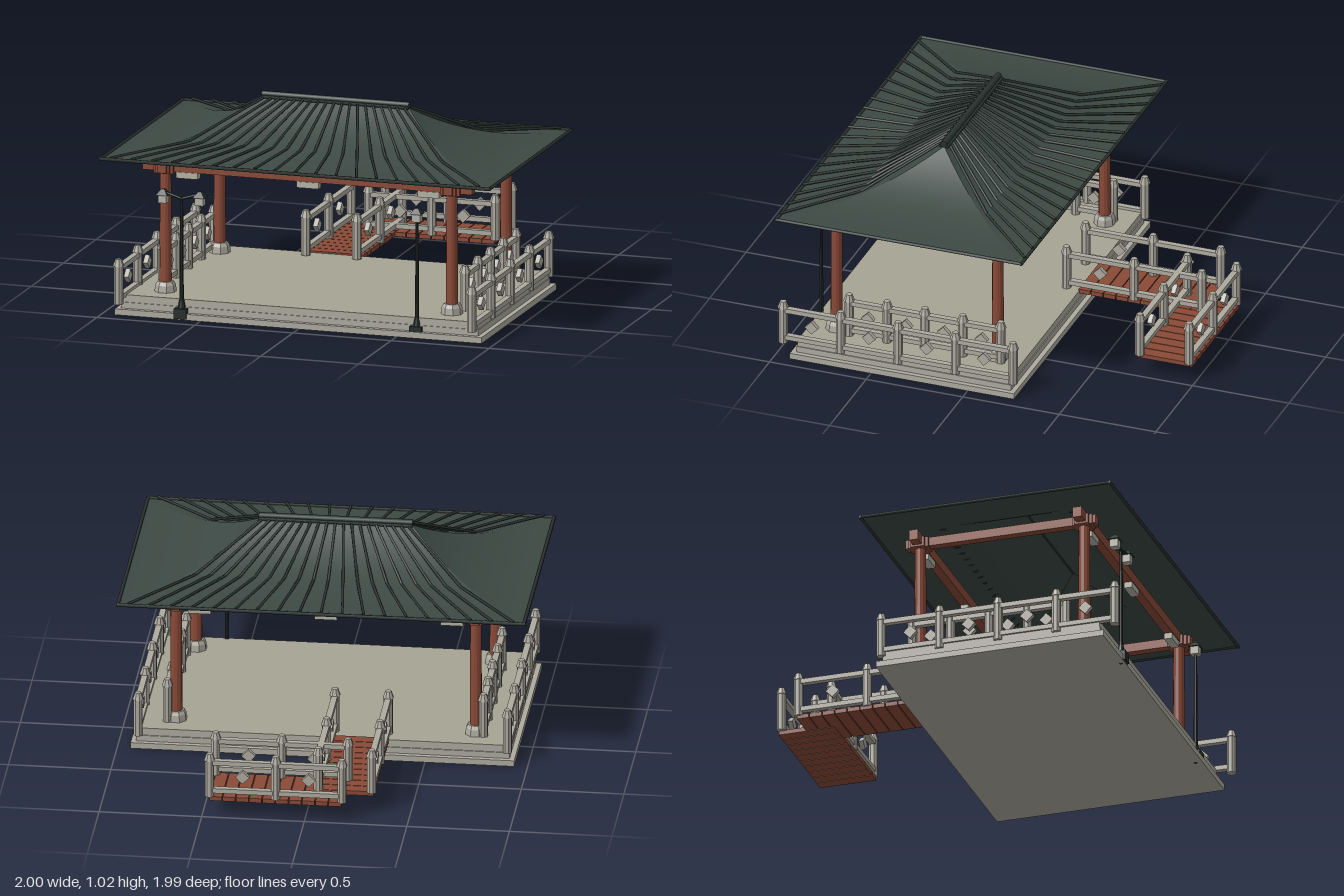
import * as THREE from 'three';

const mat = (name, color, extra = {}) => {
  const m = new THREE.MeshStandardMaterial({ color, ...extra });
  m.name = name;
  return m;
};

export function createModel() {
  const stone = mat('stone', 0xaeaba0, { flatShading: true });
  const floorStone = mat('floor stone', 0xa6a493);
  const wood = mat('red wood', 0x8a4a38, { flatShading: true });
  const tile = mat('roof tile', 0x3d4944, { side: THREE.DoubleSide });
  const trim = mat('dark tile trim', 0x2a3431);
  const iron = mat('lamp iron', 0x262e2c, { flatShading: true });
  const glass = mat('lamp glass', 0xb6b4a7);

  const model = new THREE.Group();
  model.name = 'pavilion';
  const CZ = 0.335; // pavilion centre line in z

  const group = (name, parent = model) => {
    const g = new THREE.Group();
    g.name = name;
    parent.add(g);
    return g;
  };
  const add = (parent, name, geo, material, x, y, z) => {
    const m = new THREE.Mesh(geo, material);
    m.name = name;
    m.position.set(x, y, z);
    parent.add(m);
    return m;
  };
  const box = (p, name, material, w, h, d, x, y, z) =>
    add(p, name, new THREE.BoxGeometry(w, h, d), material, x, y, z);
  const cyl = (p, name, material, rTop, rBottom, h, x, y, z, sides = 8) =>
    add(p, name, new THREE.CylinderGeometry(rTop, rBottom, h, sides).rotateY(Math.PI / sides), material, x, y, z);
  // Round bar between two points
  const bar = (p, name, material, a, b, r, sides = 6) => {
    const d = b.clone().sub(a);
    const m = add(p, name, new THREE.CylinderGeometry(r, r, d.length(), sides), material, 0, 0, 0);
    m.position.copy(a).add(b).multiplyScalar(0.5);
    m.quaternion.setFromUnitVectors(new THREE.Vector3(0, 1, 0), d.normalize());
    return m;
  };
  const V = (x, y, z) => new THREE.Vector3(x, y, z);

  // Stepped stone platform
  const platform = group('platform');
  box(platform, 'lowerStep', stone, 1.87, 0.03, 1.16, 0, 0.015, 0.34);
  box(platform, 'middleStep', stone, 1.82, 0.03, 1.11, 0, 0.045, 0.34);
  box(platform, 'upperStep', stone, 1.81, 0.033, 1.1, 0, 0.0765, 0.34);
  box(platform, 'floor', floorStone, 1.81, 0.004, 1.1, 0, 0.095, 0.34);

  // Columns on octagonal plinths, with joint blocks
  const frame = group('timberFrame');
  for (const x of [-0.73, 0.73]) {
    for (const z of [CZ - 0.415, CZ + 0.42]) {
      cyl(frame, 'plinth', stone, 0.05, 0.054, 0.035, x, 0.1125, z);
      cyl(frame, 'plinthCap', stone, 0.04, 0.05, 0.018, x, 0.139, z);
      cyl(frame, 'column', wood, 0.027, 0.03, 0.56, x, 0.425, z, 12);
      box(frame, 'jointBlock', wood, 0.1, 0.05, 0.07, x, 0.715, z);
      box(frame, 'crossJointBlock', wood, 0.07, 0.05, 0.1, x, 0.717, z);
    }
    box(frame, 'sideBeam', wood, 0.045, 0.045, 0.97, x, 0.72, CZ);
  }
  for (const z of [CZ - 0.415, CZ + 0.42]) {
    box(frame, 'longBeam', wood, 1.68, 0.053, 0.045, 0, 0.726, z);
    for (const x of [-0.615, 0, 0.615]) box(frame, 'beamLight', glass, 0.11, 0.03, 0.04, x, 0.683, z);
  }

  // Concave hipped roof shell: each side is a strip of shrinking rectangles
  const roof = group('roof');
  const rows = 12, pos = [], idx = [];
  const corners = [[-1, 1], [1, 1], [1, -1], [-1, -1]];
  for (let s = 0; s < 4; s++) {
    const base = pos.length / 3;
    for (let r = 0; r <= rows; r++) {
      const t = 1 - r / rows;
      const y = 0.783 + 0.21 * Math.pow(1 - t, 2.3);
      for (const k of [s, (s + 1) % 4]) {
        pos.push(corners[k][0] * (0.375 + 0.615 * t), y, CZ + corners[k][1] * (0.005 + 0.63 * t));
      }
      if (r < rows) {
        const a = base + r * 2;
        idx.push(a, a + 1, a + 3, a, a + 3, a + 2);
      }
    }
  }
  const shell = new THREE.BufferGeometry();
  shell.setAttribute('position', new THREE.Float32BufferAttribute(pos, 3));
  shell.setIndex(idx);
  shell.computeVertexNormals();
  add(roof, 'roofShell', shell, tile, 0, 0, 0);

  // Ridge and eave trim
  bar(roof, 'ridge', trim, V(-0.375, 1.009, CZ), V(0.375, 1.009, CZ), 0.016, 10);
  for (const s of [-1, 1]) {
    bar(roof, 'ridgeSide', trim, V(-0.375, 0.998, CZ + s * 0.018), V(0.375, 0.998, CZ + s * 0.018), 0.008);
    bar(roof, 'longEave', trim, V(-0.997, 0.785, CZ + s * 0.635), V(0.997, 0.785, CZ + s * 0.635), 0.009);
    bar(roof, 'endEave', trim, V(s * 0.99, 0.785, CZ - 0.635), V(s * 0.99, 0.785, CZ + 0.635), 0.009);
    // Fanned ribs, each bent once halfway down
    for (let i = 0; i < 19; i++) {
      const u = i / 9 - 1;
      const top = V(u * 0.36, 0.998, CZ + s * 0.03);
      const knee = V(u * 0.645, 0.827, CZ + s * 0.325);
      const eave = V(u * 0.94, 0.794, CZ + s * 0.635);
      bar(roof, 'upperRib', trim, top, knee, 0.007);
      bar(roof, 'lowerRib', trim, knee, eave, 0.007);
    }
  }

  // Balustrade with capped posts, two rails and a diamond in each panel
  function balustrade(name, length, bays, x, y, z, alongX) {
    const g = group(name);
    g.position.set(x, y, z);
    if (!alongX) g.rotation.y = Math.PI / 2; // local +x runs towards -z
    const step = length / bays;
    for (let i = 0; i <= bays; i++) {
      cyl(g, 'post', stone, 0.023, 0.023, 0.19, i * step, 0.095, 0);
      cyl(g, 'postCap', stone, 0.016, 0.028, 0.035, i * step, 0.2075, 0);
      if (i < bays) {
        const d = box(g, 'diamond', stone, 0.048, 0.048, 0.024, (i + 0.5) * step, 0.108, 0);
        d.rotation.z = Math.PI / 4;
      }
    }
    box(g, 'topRail', stone, length, 0.024, 0.03, length / 2, 0.18, 0);
    box(g, 'bottomRail', stone, length, 0.024, 0.03, length / 2, 0.033, 0);
  }
  for (const s of [-1, 1]) {
    balustrade('outerBalustrade', 1.19, 4, s * 0.9, 0.067, 0.967, false);
    balustrade('innerBalustrade', 0.785, 4, s * 0.77, 0.095, 0.675, false);
  }

  // L-shaped plank bridge behind the platform
  const bridge = group('bridge');
  for (let i = 0; i < 10; i++) {
    box(bridge, 'nearPlank', wood, 0.28, 0.022, 0.06, -0.18, 0.094, -0.235 - i * 0.0645);
    box(bridge, 'farPlank', wood, 0.06, 0.022, 0.285, -0.147 + i * 0.0645, 0.092, -0.843);
  }
  for (const x of [-0.31, -0.05]) balustrade('nearBridgeRail', 0.7, 2, x, 0.1, -0.14, false);
  for (const z of [-0.97, -0.715]) balustrade('farBridgeRail', 0.645, 2, -0.18, 0.1, z, true);

  // Lamp posts
  function lampHead(g, x, z) {
    box(g, 'lampGlass', glass, 0.042, 0.04, 0.042, x, 0.595, z);
    add(g, 'lampRoof', new THREE.CylinderGeometry(0.012, 0.042, 0.028, 4).rotateY(Math.PI / 4), iron, x, 0.628, z);
  }
  function lampPost(name, x, z, height) {
    const g = group(name);
    box(g, 'lampBase', iron, 0.062, 0.05, 0.062, x, 0.031, z);
    cyl(g, 'lampFoot', iron, 0.012, 0.02, 0.04, x, 0.075, z);
    cyl(g, 'lampPole', iron, 0.007, 0.011, height, x, height / 2, z);
    return g;
  }
  lampHead(lampPost('singleLamp', 0.595, 0.885, 0.58), 0.595, 0.885);
  const twin = lampPost('twinLamp', -0.6, 0.9, 0.61);
  for (const s of [-1, 1]) {
    bar(twin, 'lampArm', iron, V(-0.6, 0.6, 0.9), V(-0.6 + s * 0.092, 0.628, 0.9), 0.007);
    lampHead(twin, -0.6 + s * 0.094, 0.9);
  }

  return model;
}
